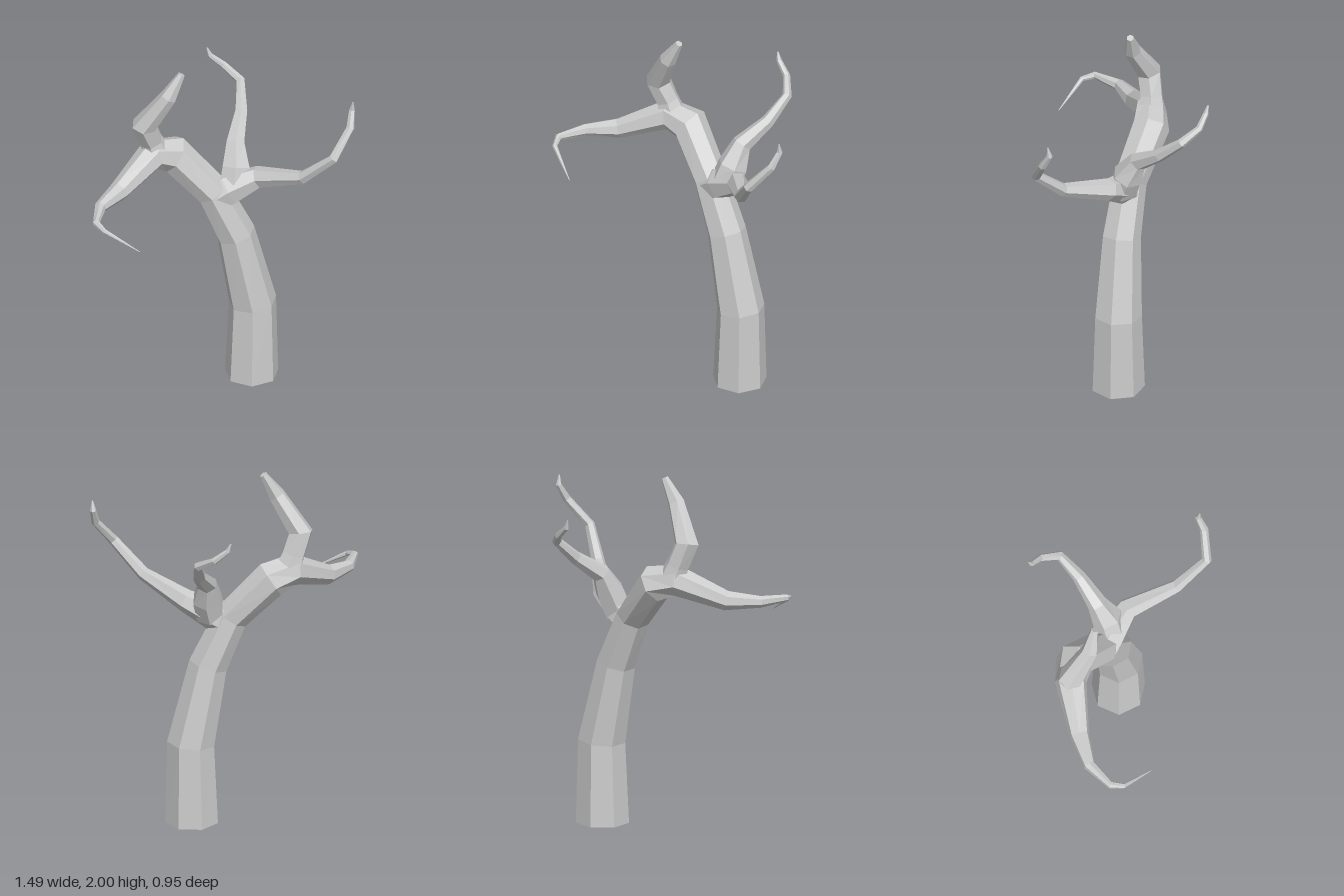
import * as THREE from 'three';

const material = new THREE.MeshStandardMaterial({
  color: 0xcccccc, flatShading: true, side: THREE.DoubleSide,
});

// Faceted limb lofted along stations [x, y, z, radius]; the far end is capped.
function limb(name, sides, stations, startDir) {
  const centres = stations.map(([x, y, z]) => new THREE.Vector3(x, y, z));
  const last = centres.length - 1;
  const dirs = [];
  for (let i = 0; i < last; i++) dirs.push(centres[i + 1].clone().sub(centres[i]).normalize());

  const positions = [], index = [];
  const u = new THREE.Vector3(0, 0, 1);
  centres.forEach((c, i) => {
    // Ring faces the average direction of its two neighbouring segments
    let t = dirs[Math.max(i - 1, 0)].clone().add(dirs[Math.min(i, last - 1)]).normalize();
    if (i === 0 && startDir) t = startDir;
    u.addScaledVector(t, -u.dot(t)).normalize();
    const v = new THREE.Vector3().crossVectors(t, u);
    for (let j = 0; j < sides; j++) {
      const a = ((j + 0.5) / sides) * Math.PI * 2;
      const p = c.clone()
        .addScaledVector(u, Math.cos(a) * stations[i][3])
        .addScaledVector(v, Math.sin(a) * stations[i][3]);
      positions.push(p.x, p.y, p.z);
    }
  });
  for (let i = 0; i < last; i++) {
    for (let j = 0; j < sides; j++) {
      const k = (j + 1) % sides;
      const a = i * sides + j, b = i * sides + k;
      index.push(a, b, b + sides, a, b + sides, a + sides);
    }
  }
  for (let j = 1; j < sides - 1; j++) {
    index.push(last * sides, last * sides + j, last * sides + j + 1);
  }
  const geometry = new THREE.BufferGeometry();
  geometry.setAttribute('position', new THREE.Float32BufferAttribute(positions, 3));
  geometry.setIndex(index);
  geometry.computeVertexNormals();
  const mesh = new THREE.Mesh(geometry, material);
  mesh.name = name;
  return mesh;
}

export function createModel() {
  const tree = new THREE.Group();
  tree.name = 'bareTree';

  // Trunk, open underneath, bending over into the long drooping limb
  tree.add(limb('trunkAndDroopingLimb', 7, [
    [0.295, 0, 0.02, 0.148],
    [0.30, 0.46, 0.02, 0.132],
    [0.205, 0.91, 0.005, 0.108],
    [0.085, 1.19, -0.035, 0.095],
    [-0.10, 1.42, -0.14, 0.105],
    [-0.23, 1.455, -0.135, 0.088],
    [-0.48, 1.345, -0.035, 0.055],
    [-0.64, 1.335, 0.055, 0.033],
    [-0.73, 1.335, 0.19, 0.02],
    [-0.715, 1.318, 0.26, 0.014],
    [-0.56, 1.21, 0.38, 0.002],
  ], new THREE.Vector3(0, 1, 0)));

  // Tapered limb rising from the bend
  tree.add(limb('uprightLimb', 6, [
    [-0.20, 1.44, -0.14, 0.085],
    [-0.235, 1.54, -0.14, 0.066],
    [-0.285, 1.66, -0.125, 0.07],
    [-0.18, 1.86, -0.04, 0.047],
    [-0.105, 1.99, -0.03, 0.02],
  ]));

  // Branch reaching forward from the fork
  tree.add(limb('frontBranch', 6, [
    [0.08, 1.14, -0.03, 0.085],
    [0.17, 1.20, 0.00, 0.09],
    [0.31, 1.275, 0.07, 0.062],
    [0.46, 1.365, 0.31, 0.037],
    [0.58, 1.53, 0.45, 0.028],
    [0.70, 1.67, 0.41, 0.023],
    [0.73, 1.755, 0.37, 0.017],
    [0.73, 1.81, 0.38, 0.004],
  ]));

  // Branch reaching backward from the fork
  tree.add(limb('backBranch', 6, [
    [0.19, 1.20, 0.00, 0.085],
    [0.225, 1.31, -0.03, 0.085],
    [0.25, 1.425, -0.09, 0.055],
    [0.345, 1.53, -0.21, 0.037],
    [0.40, 1.645, -0.33, 0.026],
    [0.345, 1.705, -0.425, 0.02],
    [0.28, 1.765, -0.46, 0.015],
    [0.267, 1.81, -0.47, 0.004],
  ]));

  return tree;
}
